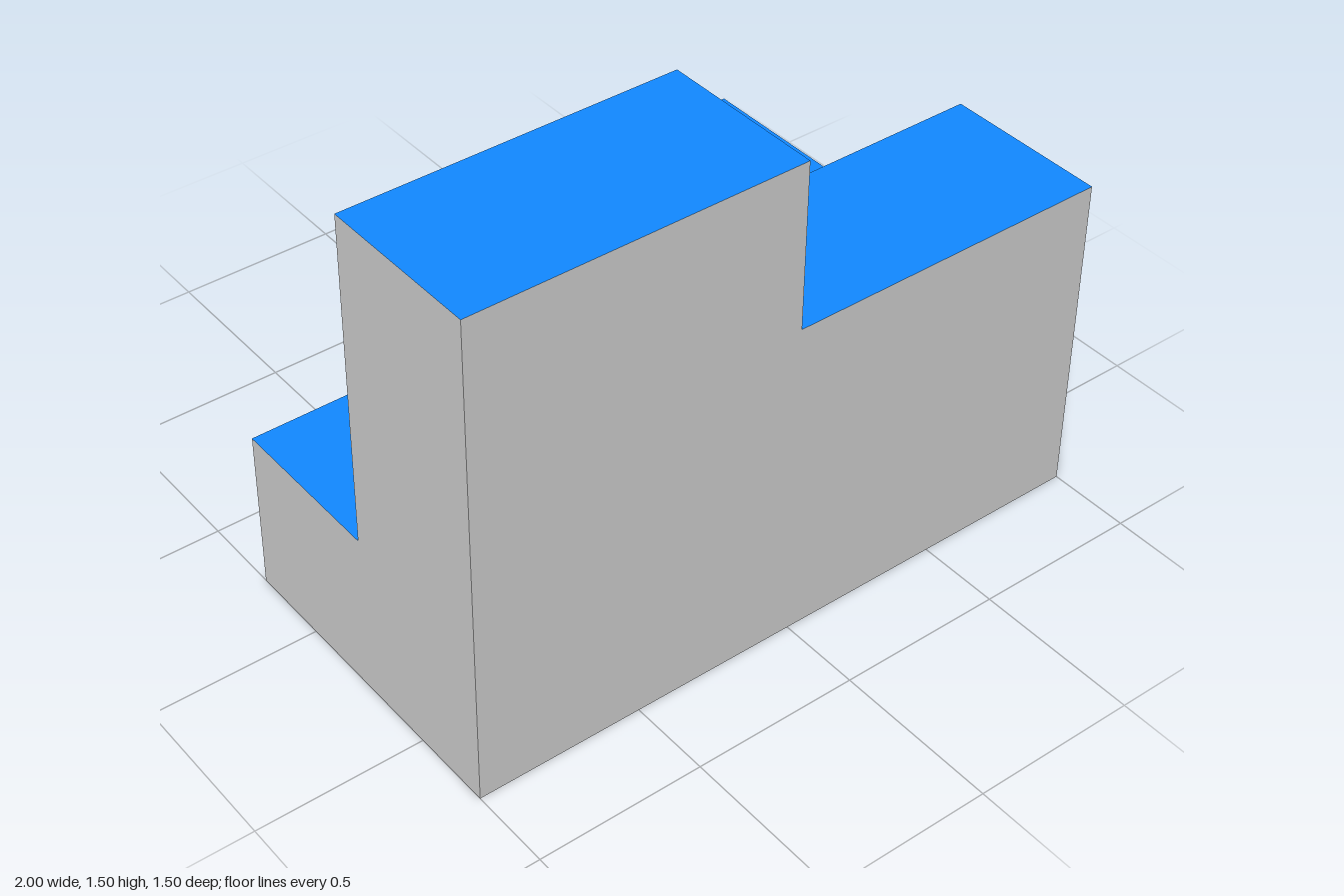
import * as THREE from 'three';

const GREY = 0xcccccc, BLUE = 0x1188ff, GREEN = 0x10ff10, STEP_GREEN = 0x30ff14;
const YELLOW = 0xfaff30, PALE_YELLOW = 0xffff58;

// Rotation that turns a panel's outward normal from +z to each side
const H = Math.PI / 2;
const TURN = {
  front: [0, 0],      // u = x,  v = y
  back: [0, 2 * H],   // u = -x, v = y
  right: [0, H],      // u = -z, v = y  (faces +x)
  left: [0, -H],      // u = z,  v = y  (faces -x)
  top: [-H, 0],       // u = x,  v = -z
  bottom: [H, 0],     // u = x,  v = z
};

const rect = (u0, v0, u1, v1) => [[u0, v0], [u1, v0], [u1, v1], [u0, v1]];

export function createModel() {
  const model = new THREE.Group();
  model.name = 'steppedBlock';

  // Flat panel, placed at a signed distance along its outward normal
  function panel(name, side, distance, color, outline) {
    const shape = new THREE.Shape(outline.map(([u, v]) => new THREE.Vector2(u, v)));
    const geometry = new THREE.ShapeGeometry(shape).translate(0, 0, distance);
    geometry.rotateX(TURN[side][0]).rotateY(TURN[side][1]);
    const mesh = new THREE.Mesh(geometry, new THREE.MeshStandardMaterial({ color }));
    mesh.name = name;
    model.add(mesh);
  }

  // Plain front, sides and underside
  panel('frontFace', 'front', 0.75, GREY, [[-1, 0], [1, 0], [1, 1], [0, 1], [0, 1.5], [-1, 1.5]]);
  panel('outerEndFace', 'left', 1, GREY,
    [[-0.25, 0], [0.75, 0], [0.75, 1.5], [0.25, 1.5], [0.25, 0.5], [-0.25, 0.5]]);
  panel('notchSideFace', 'left', 0, GREY, rect(-0.75, 0, -0.25, 0.5));
  panel('underside', 'bottom', 0, GREY,
    [[0, -0.75], [1, -0.75], [1, 0.75], [-1, 0.75], [-1, -0.25], [0, -0.25]]);

  // Blue upward faces
  panel('highTop', 'top', 1.5, BLUE, rect(-1, -0.75, 0, -0.25));
  panel('middleTop', 'top', 1, BLUE, rect(0, -0.75, 1, -0.25));
  panel('lowTop', 'top', 0.5, BLUE,
    [[-1, -0.25], [1, -0.25], [1, 0.75], [0, 0.75], [0, 0.25], [-1, 0.25]]);

  // Green faces toward +x
  panel('greenEndFace', 'right', 1, GREEN,
    [[-0.75, 0], [0.75, 0], [0.75, 0.5], [-0.25, 0.5], [-0.25, 1], [-0.75, 1]]);
  panel('stepRiser', 'right', 0, STEP_GREEN, rect(-0.75, 1, -0.25, 1.5));

  // Yellow rear faces
  panel('wallBack', 'back', -0.25, YELLOW,
    [[-1, 0.5], [1, 0.5], [1, 1.5], [0, 1.5], [0, 1], [-1, 1]]);
  panel('notchBack', 'back', 0.25, YELLOW, rect(0, 0, 1, 0.5));
  panel('baseBack', 'back', 0.75, PALE_YELLOW, rect(-1, 0, 0, 0.5));

  return model;
}
